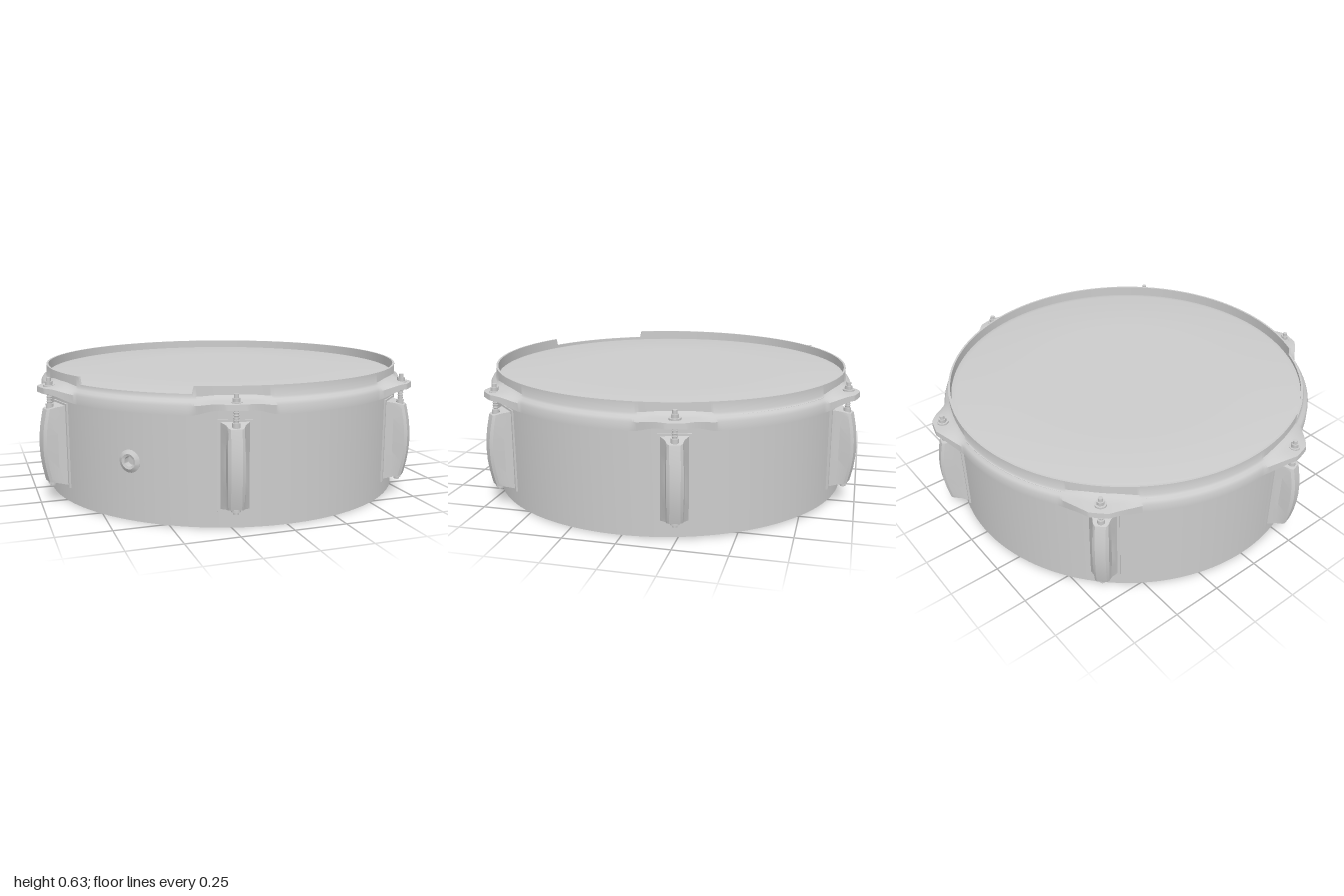
import * as THREE from 'three';
import { toCreasedNormals } from 'three/addons/utils/BufferGeometryUtils.js';

const RAD = Math.PI / 180;
const LUGS = [45, 105, 165, 225, 285, 345];
const VENT = -45 * RAD;
const R = 0.915, R_IN = 0.897;
const grey = new THREE.MeshStandardMaterial({ color: 0xcccccc, side: THREE.DoubleSide });

function add(parent, name, geometry, y = 0, z = 0) {
  const mesh = new THREE.Mesh(geometry, grey);
  mesh.name = name;
  mesh.position.set(0, y, z);
  parent.add(mesh);
  return mesh;
}

// Grid of nu x nv points from fn(i, j); i always closes on itself, j optionally
function surface(nu, nv, fn, closeV = false, crease = 0.6) {
  const pos = [], index = [];
  for (let j = 0; j < nv; j++) for (let i = 0; i < nu; i++) pos.push(...fn(i, j));
  for (let j = 0; j < (closeV ? nv : nv - 1); j++) {
    for (let i = 0; i < nu; i++) {
      const i2 = (i + 1) % nu, j2 = (j + 1) % nv;
      const a = j * nu + i, b = j * nu + i2, c = j2 * nu + i2, d = j2 * nu + i;
      index.push(a, b, c, a, c, d);
    }
  }
  const geo = new THREE.BufferGeometry();
  geo.setAttribute('position', new THREE.Float32BufferAttribute(pos, 3));
  geo.setIndex(index);
  return toCreasedNormals(geo, crease);
}

const lathe = (pts, seg, start = 0, len = Math.PI * 2) =>
  toCreasedNormals(new THREE.LatheGeometry(pts.map(p => new THREE.Vector2(...p)), seg, start, len), 0.6);

// Shell wall: a lathe with a gap, filled by a curved panel with the vent hole
function makeShell() {
  const shell = new THREE.Group();
  shell.name = 'shell';
  const half = 0.11, top = 0.575, mid = 0.285;
  add(shell, 'shellWall', lathe(
    [[R_IN, 0.01], [R, 0.01], [R, top], [R_IN, top], [R_IN, 0.01]],
    160, VENT + half, Math.PI * 2 - 2 * half));
  const n = 64, steps = 5;
  const ring = [[R_IN, 0], [R_IN, 1], [R, 1], [R, 0]];
  const panel = surface(n, steps * 2, (i, j) => {
    const a = i / n * Math.PI * 2, c = Math.cos(a), s = Math.sin(a);
    const m = Math.max(Math.abs(c), Math.abs(s));
    const inner = j < steps, k = inner ? j : steps * 2 - 1 - j;
    const t = k / (steps - 1), r = inner ? ring[0][0] : ring[2][0];
    const u = THREE.MathUtils.lerp(c * 0.024 / R, c / m * half, t);
    const y = mid + THREE.MathUtils.lerp(s * 0.024, s / m * (s > 0 ? top - mid : mid - 0.01), t);
    return [r * Math.sin(VENT + u), y, r * Math.cos(VENT + u)];
  }, true);
  add(shell, 'ventPanel', panel);

  // Vent grommet, flanged on both sides
  const vent = new THREE.Group();
  vent.name = 'ventGrommet';
  vent.rotation.y = VENT;
  const grommet = lathe([[0.023, -0.016], [0.035, -0.02], [0.053, -0.011], [0.053, 0.009],
    [0.035, 0.02], [0.023, 0.016], [0.023, -0.016]], 32);
  add(vent, 'grommetRing', grommet, mid, (R + R_IN) / 2).rotation.x = Math.PI / 2;
  shell.add(vent);
  shell.rotation.x = 0.006;
  return shell;
}

// Hoop: its flange flares into an ear over each lug, with one notch in the rim
function makeHoop() {
  const n = 720, base = [[0.903, 1], [0.913, 1], [0.914, 0.58], [0.92, 0.57], [0.934, 0.56],
    [0.942, 0.545], [0.942, 0.505], [0.93, 0.505], [0.93, 0.54], [0.918, 0.552], [0.903, 0.565]];
  const ear = [[0.903, 1], [0.913, 1], [0.914, 0.59], [0.93, 0.578], [0.965, 0.573],
    [1.015, 0.566], [1.017, 0.54], [1.008, 0.54], [0.965, 0.553], [0.925, 0.556], [0.903, 0.565]];
  return surface(n, base.length, (i, j) => {
    const deg = i * 360 / n;
    const d = Math.min(...LUGS.map(l => Math.abs(((deg - l + 540) % 360) - 180)));
    const x = THREE.MathUtils.clamp((12 - d) / 9.5, 0, 1);
    const w = Math.pow(x, 1.5) * (1.5 - 0.5 * x);
    const wy = THREE.MathUtils.smoothstep(x, 0, 0.9);
    const r = THREE.MathUtils.lerp(base[j][0], ear[j][0], w);
    const rim = deg > 296 && deg < 334 ? 0.592 : 0.628;
    const y = j < 2 ? rim : THREE.MathUtils.lerp(base[j][1], ear[j][1], wy);
    const a = deg * RAD;
    return [r * Math.sin(a), y, r * Math.cos(a)];
  }, true);
}

// Lug casting: concave flanks narrowing to a bowed outer face
function makeLugBody() {
  const rows = [-1, -1, -0.9, -0.6, -0.3, 0, 0.3, 0.6, 0.9, 1, 1];
  return surface(10, rows.length, (i, j) => {
    const t = rows[j], bow = 1 - t * t;
    const out = 0.998 + 0.025 * bow;
    const side = [[0.068, 0.9], [0.062, 0.925], [0.042, 0.955], [0.034 + 0.004 * bow, out - 0.012], [0.024, out]];
    const k = i < 5 ? i : 9 - i, sign = i < 5 ? 1 : -1;
    const cap = j === 0 || j === rows.length - 1;
    const x = cap ? 0 : side[k][0] * sign;
    const r = side[k][1];
    return [x, 0.287 + t * (0.198 - 0.22 * (r - 0.9)), r];
  }, false, 0.5);
}

// One lug with its backing plate, tension rod, nut and lower bolt
function makeLug(body) {
  const lug = new THREE.Group();
  lug.name = 'lug';
  add(lug, 'lugPlate', new THREE.BoxGeometry(0.15, 0.41, 0.032), 0.285, 0.906);
  add(lug, 'lugBody', body);
  const cyl = (name, r, h, y, seg = 16) => add(lug, name, new THREE.CylinderGeometry(r, r, h, seg), y, 0.973);
  cyl('tensionRod', 0.011, 0.17, 0.52);
  cyl('rodCollar', 0.018, 0.025, 0.474);
  cyl('washer', 0.027, 0.008, 0.573, 20);
  cyl('rodNut', 0.019, 0.018, 0.585, 6);
  cyl('rodTip', 0.011, 0.02, 0.601);
  cyl('lowerWasher', 0.021, 0.01, 0.103);
  cyl('lowerBolt', 0.014, 0.02, 0.096, 6);
  // Small threads along the exposed rod
  for (let k = 0; k < 4; k++) {
    const thread = add(lug, 'rodThread', new THREE.TorusGeometry(0.011, 0.003, 6, 16), 0.496 + k * 0.012, 0.973);
    thread.rotation.x = Math.PI / 2;
  }
  return lug;
}

export function createModel() {
  const drum = new THREE.Group();
  drum.name = 'drum';
  drum.add(makeShell());

  // Drum skin with a shallow collar and its rim ring
  add(drum, 'drumHead', lathe([[0, 0.587], [0.5, 0.587], [0.87, 0.585], [0.882, 0.582], [0.904, 0.58],
    [0.925, 0.565], [0.925, 0.53], [0.917, 0.53], [0.917, 0.565], [0.9, 0.574], [0, 0.578]], 128));

  add(drum, 'hoop', makeHoop()).rotation.x = -0.006;

  const body = makeLugBody();
  for (const deg of LUGS) {
    const lug = makeLug(body);
    lug.rotation.y = deg * RAD;
    drum.add(lug);
  }
  return drum;
}
